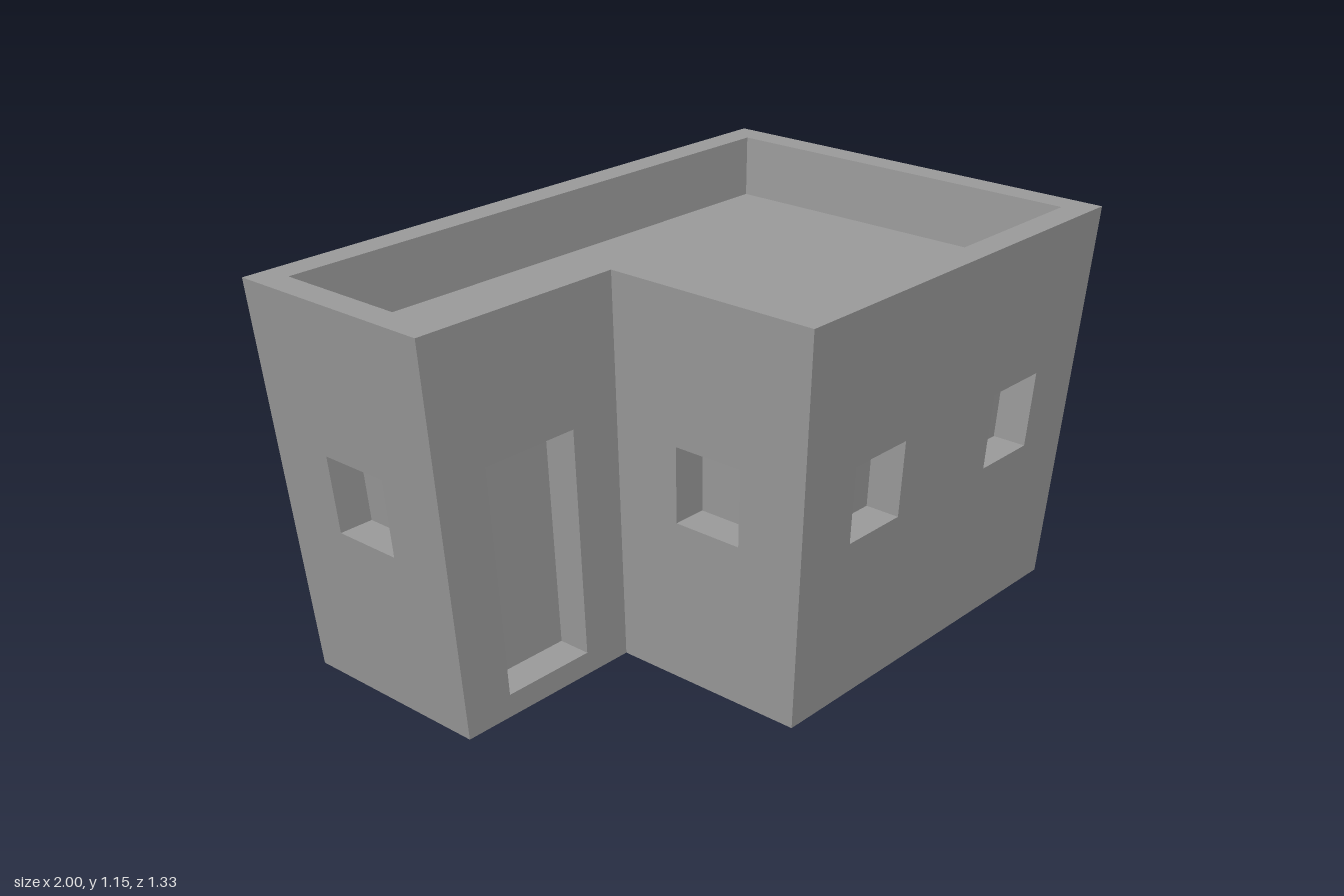
import * as THREE from 'three';

const H = 1.153;          // wall height
const ROOF = 0.97;        // roof deck height inside the parapet
const DEPTH = 0.111;      // depth of window and door recesses
const T = 1 / 3;          // footprint module

// L-shaped footprints as [x, z], counter-clockwise seen from above
const footprint = (inset) => [
  [-T + inset, 2 * T - inset], [1 - inset, 2 * T - inset],
  [1 - inset, -2 * T + inset], [-1 + inset, -2 * T + inset],
  [-1 + inset, -inset], [-T + inset, -inset],
];
const OUTER = footprint(0);
const INNER = footprint(0.083);

const WINDOW = { w: 0.228, y0: 0.482, y1: 0.708 };
const DOOR = { w: 0.325, y0: 0.068, y1: 0.752 };

const material = new THREE.MeshStandardMaterial({
  color: 0x9a9a9a, flatShading: true, side: THREE.DoubleSide,
});

// Narrow the building evenly towards its foot
function taper(geometry) {
  const g = geometry.index ? geometry.toNonIndexed() : geometry;
  const p = g.attributes.position;
  for (let i = 0; i < p.count; i++) {
    const s = 0.9 + 0.1 * p.getY(i) / H;
    p.setX(i, p.getX(i) * s);
    p.setZ(i, p.getZ(i) * s);
  }
  g.computeVertexNormals();
  return g;
}

function addPart(group, name, geometry, matrix) {
  const mesh = new THREE.Mesh(taper(geometry.applyMatrix4(matrix)), material);
  mesh.name = name;
  group.add(mesh);
}

const rectangle = (x0, y0, x1, y1) => [[x0, y0], [x1, y0], [x1, y1], [x0, y1]]
  .map(([x, y]) => new THREE.Vector2(x, y));

// Matrix whose x runs along the wall from a to b and whose z faces outwards
function wallFrame(a, b) {
  const along = new THREE.Vector3(b[0] - a[0], 0, b[1] - a[1]).normalize();
  const up = new THREE.Vector3(0, 1, 0);
  const out = new THREE.Vector3().crossVectors(along, up);
  return new THREE.Matrix4().makeBasis(along, up, out).setPosition(a[0], 0, a[1]);
}

// Box without its front, turned to show its inside
function recess(u, { w, y0, y1 }) {
  const g = new THREE.BoxGeometry(w, y1 - y0, DEPTH);
  const index = Array.from(g.index.array);
  index.splice(24, 6);
  g.setIndex(index.reverse());
  return g.translate(u, (y0 + y1) / 2, -DEPTH / 2);
}

// Upright wall with evenly spaced openings
function addWall(group, name, a, b, y0, opening) {
  const length = Math.hypot(b[0] - a[0], b[1] - a[1]);
  const frame = wallFrame(a, b);
  const shape = new THREE.Shape(rectangle(0, y0, length, H));
  if (opening) {
    for (let u = T; u < length; u += 2 * T) {
      const { w, y0: low, y1: high } = opening;
      shape.holes.push(new THREE.Path(rectangle(u - w / 2, low, u + w / 2, high)));
      addPart(group, opening === DOOR ? 'doorRecess' : 'windowRecess', recess(u, opening), frame);
    }
  }
  addPart(group, name, new THREE.ShapeGeometry(shape), frame);
}

export function createModel() {
  const model = new THREE.Group();
  model.name = 'building';

  // Outer walls with windows, and the door in the set-back front
  const names = ['frontWall', 'leftWall', 'backWall', 'rightWall', 'doorWall', 'porchSideWall'];
  OUTER.forEach((a, i) => {
    addWall(model, names[i], a, OUTER[(i + 1) % 6], 0, i === 4 ? DOOR : WINDOW);
  });

  // Inner faces of the parapet
  INNER.forEach((a, i) => addWall(model, 'parapetInnerWall', INNER[(i + 1) % 6], a, ROOF));

  // Parapet top and sunken roof deck
  const toPoints = (list) => list.map(([x, z]) => new THREE.Vector2(x, -z));
  const level = (y) => new THREE.Matrix4().makeRotationX(-Math.PI / 2).setPosition(0, y, 0);
  const rim = new THREE.Shape(toPoints(OUTER));
  rim.holes.push(new THREE.Path(toPoints(INNER)));
  addPart(model, 'parapetTop', new THREE.ShapeGeometry(rim), level(H));
  addPart(model, 'roofDeck', new THREE.ShapeGeometry(new THREE.Shape(toPoints(INNER))), level(ROOF));

  return model;
}
